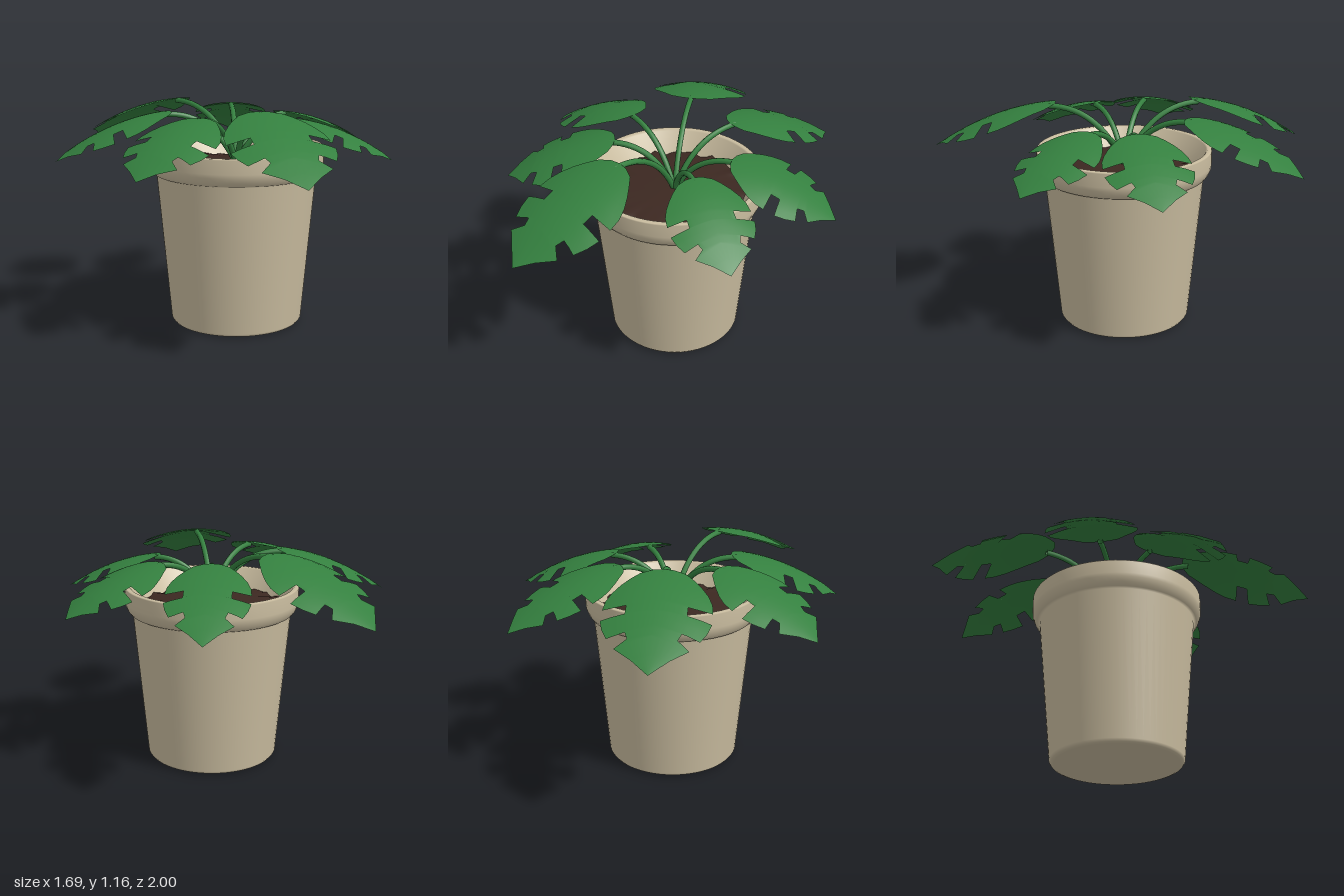
import * as THREE from 'three';

const mat = (name, color, side = THREE.FrontSide) => {
  const m = new THREE.MeshStandardMaterial({ color, side });
  m.name = name;
  return m;
};

// Half outline of a leaf: [place on midrib, distance along, distance across], length = 1
const OUTLINE = [
  [0, 0, 0], [0.02, 0.01, 0.08], [0.07, 0.05, 0.17], [0.13, 0.12, 0.235], [0.2, 0.19, 0.295],
  [0.27, 0.27, 0.35], [0.33, 0.35, 0.385], [0.4, 0.44, 0.395],
  [0.43, 0.45, 0.22], [0.51, 0.53, 0.22],
  [0.52, 0.54, 0.395], [0.58, 0.63, 0.37], [0.64, 0.715, 0.325],
  [0.67, 0.685, 0.2], [0.72, 0.745, 0.175],
  [0.73, 0.805, 0.26], [0.87, 0.9, 0.13], [1, 1, 0],
];

// Arched leaf blade: rows run across the midrib, edges and tip droop
function leafGeometry(base, tip, width) {
  const K = 5, cols = 2 * K + 1, pos = [], idx = [];
  const dx = tip.x - base.x, dz = tip.z - base.z, drop = base.y - tip.y;
  const len = Math.hypot(dx, dz);
  OUTLINE.forEach(([m, u, v], i) => {
    for (let j = -K; j <= K; j++) {
      const t = Math.abs(j) / K;
      const a = m + (u - m) * t, b = width * v * j / K;
      pos.push(
        base.x + dx * a - dz * b,
        base.y - drop * (0.2 * a + 0.8 * a * a) - 0.5 * len * b * b,
        base.z + dz * a + dx * b);
      if (i && j < K) {
        const q = i * cols + j + K, p = q - cols;
        idx.push(p, p + 1, q, q, p + 1, q + 1);
      }
    }
  });
  const g = new THREE.BufferGeometry();
  g.setAttribute('position', new THREE.Float32BufferAttribute(pos, 3));
  g.setIndex(idx);
  g.computeVertexNormals();
  return g;
}

export function createModel() {
  const model = new THREE.Group();
  model.name = 'pottedPlant';
  const clay = mat('clay', 0xc9bc9f);
  const earth = mat('soil', 0x3c2821);
  const leafGreen = mat('leafGreen', 0x34803f, THREE.DoubleSide);
  const CX = -0.01, CZ = 0.03;

  const add = (name, geometry, material, parent = model) => {
    const mesh = new THREE.Mesh(geometry, material);
    mesh.name = name;
    parent.add(mesh);
    return mesh;
  };

  // Pot: tapered body, flared rim and sloping inside wall
  const profile = [
    [0, 0], [0.325, 0], [0.34, 0.006], [0.35, 0.02],
    [0.42, 0.8], [0.434, 0.806], [0.448, 0.825], [0.458, 0.85],
    [0.46, 0.87], [0.46, 0.94], [0.456, 0.945], [0.436, 0.946],
    [0.429, 0.94], [0.362, 0.835], [0.34, 0.79],
  ].map(([x, y]) => new THREE.Vector2(x, y));
  add('pot', new THREE.LatheGeometry(profile, 64), clay).position.set(CX, 0, CZ);

  // Soil: shallow mound whose ragged edge sinks into the wall
  const soil = new THREE.RingGeometry(0.001, 0.39, 72, 8).rotateX(-Math.PI / 2);
  const p = soil.attributes.position;
  for (let i = 0; i < p.count; i++) {
    const x = p.getX(i), z = p.getZ(i), r = Math.hypot(x, z) / 0.39, a = Math.atan2(z, x);
    const lumps = 0.009 * Math.sin(13 * a) + 0.009 * Math.sin(22 * a + 1);
    p.setY(i, 0.838 + 0.022 * (1 - r * r) + lumps * r ** 6);
  }
  soil.computeVertexNormals();
  add('soil', soil, earth).position.set(CX, 0, CZ);

  // Leaves: base x, y, z, then tip x, y, z, then relative width
  const leaves = [
    [0.30, 1.10, 0.03, 0.847, 0.885, 0.03, 1],
    [0.18, 1.13, -0.25, 0.57, 0.90, -0.745, 0.82],
    [-0.085, 1.165, -0.355, -0.217, 0.90, -1.0, 0.98],
    [-0.307, 1.13, -0.138, -0.847, 0.89, -0.39, 0.97],
    [-0.30, 1.12, 0.116, -0.83, 0.89, 0.317, 1.03],
    [-0.148, 1.165, 0.37, -0.397, 0.905, 0.995, 0.96],
    [0.18, 1.09, 0.24, 0.53, 0.885, 0.635, 1],
  ];
  leaves.forEach(([bx, by, bz, tx, ty, tz, width], i) => {
    const branch = new THREE.Group();
    branch.name = `leafBranch${i + 1}`;
    model.add(branch);
    const base = new THREE.Vector3(bx, by, bz), tip = new THREE.Vector3(tx, ty, tz);
    add('leaf', leafGeometry(base, tip, width), leafGreen, branch);

    // Stem arching from the soil to just under the leaf
    const root = new THREE.Vector3(CX, 0.84, CZ);
    const bend = root.clone().lerp(base, 0.35).setY(by - 0.01);
    const end = base.clone().lerp(tip, 0.05);
    end.y = by - 0.015;
    const path = new THREE.QuadraticBezierCurve3(root, bend, end);
    add('stem', new THREE.TubeGeometry(path, 16, 0.015, 8), leafGreen, branch);
  });
  return model;
}
